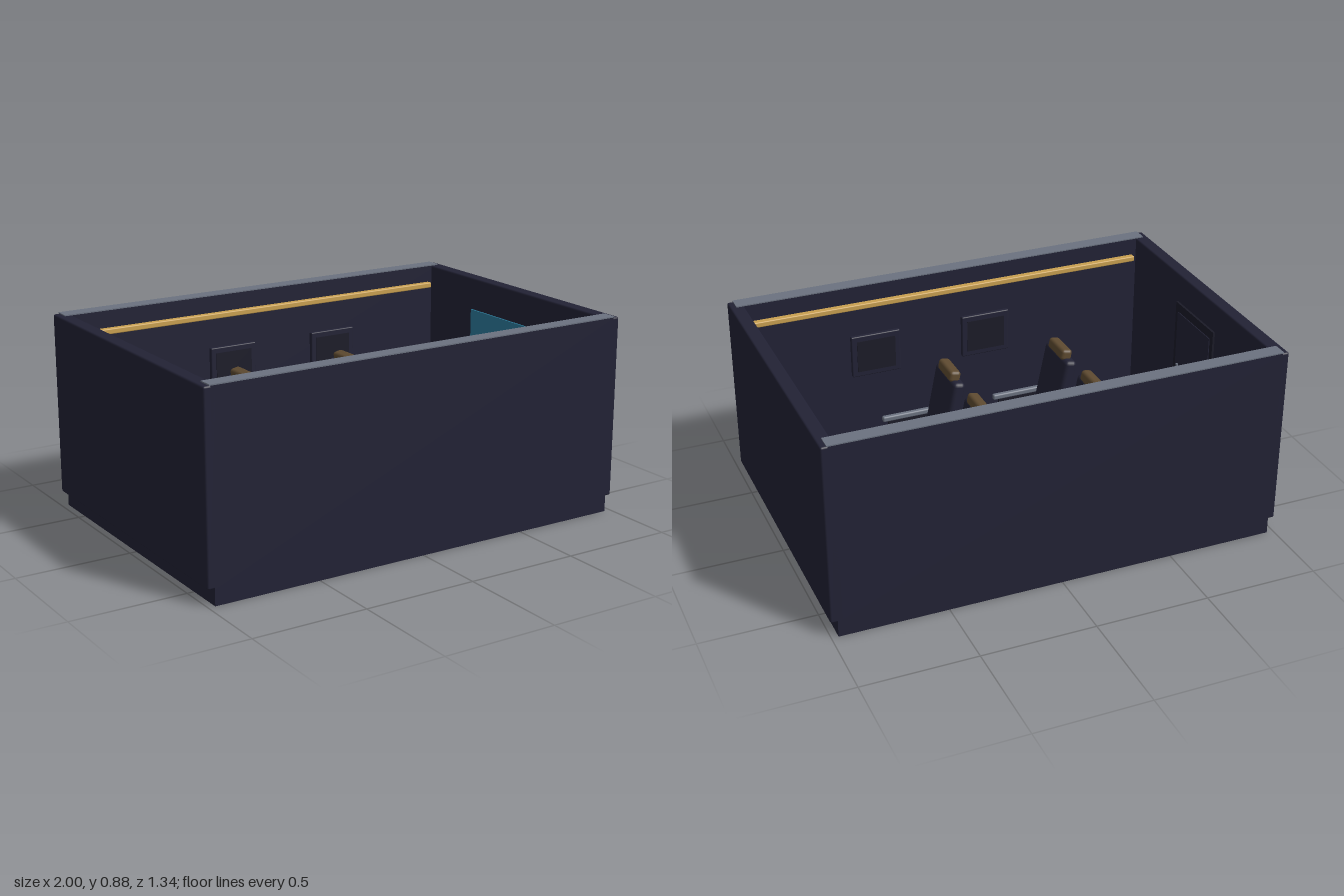
import * as THREE from 'three';
import { RoundedBoxGeometry } from 'three/addons/geometries/RoundedBoxGeometry.js';

const material = (name, color) => {
  const m = new THREE.MeshStandardMaterial({ color });
  m.name = name;
  return m;
};

export function createModel() {
  const navy = material('navy', 0x222235);
  const charcoal = material('charcoal', 0x1b1b28);
  const grey = material('grey', 0x6b7280);
  const gold = material('gold', 0xc9a050);
  const carpetBrown = material('carpetBrown', 0x53453a);
  const pillowBrown = material('pillowBrown', 0x5e4a30);
  const teal = material('teal', 0x2b7a9a);

  const room = new THREE.Group();
  room.name = 'loungeRoom';

  // Box by size and centre; a radius rounds the edges
  const box = (parent, name, mat, [w, h, d], [x, y, z], radius = 0) => {
    const geo = radius ? new RoundedBoxGeometry(w, h, d, 2, radius) : new THREE.BoxGeometry(w, h, d);
    const mesh = new THREE.Mesh(geo, mat);
    mesh.name = name;
    mesh.position.set(x, y, z);
    parent.add(mesh);
    return mesh;
  };

  // Floor with carpet runner
  box(room, 'floor', navy, [1.94, 0.07, 1.34], [0, 0.035, 0]);
  box(room, 'carpet', carpetBrown, [1.88, 0.006, 0.27], [0, 0.073, 0]);

  for (const s of [-1, 1]) {
    // End walls
    box(room, 'endWall', navy, [0.06, 0.8, 1.34], [s * 0.97, 0.47, 0], 0.008);
    // Long walls with cap and light strip
    box(room, 'longWall', navy, [1.94, 0.8, 0.065], [0, 0.47, s * 0.6375]);
    box(room, 'wallCap', grey, [1.95, 0.005, 0.065], [0, 0.8725, s * 0.6375]);
    box(room, 'lightStrip', gold, [1.84, 0.025, 0.03], [0, 0.783, s * 0.59], 0.005);
    // Wall panels beside each row of seats
    for (const x of [-0.17, 0.36]) {
      box(room, 'panelFrame', navy, [0.23, 0.2, 0.022], [x, 0.535, s * 0.594], 0.005);
      box(room, 'panelInset', charcoal, [0.18, 0.15, 0.006], [x, 0.535, s * 0.582]);
    }
  }

  // Screen on the left end wall
  box(room, 'screen', teal, [0.008, 0.18, 0.55], [0.936, 0.632, 0]);

  // Door on the right end wall
  box(room, 'doorFrame', charcoal, [0.012, 0.67, 0.34], [-0.936, 0.405, 0]);
  box(room, 'doorLeaf', navy, [0.008, 0.63, 0.29], [-0.93, 0.385, 0]);
  box(room, 'doorHandle', grey, [0.01, 0.1, 0.01], [-0.923, 0.4, 0.12]);

  // Recliner facing +x, its origin under the cushion
  const makeSeat = () => {
    const seat = new THREE.Group();
    seat.name = 'seat';
    box(seat, 'pedestal', charcoal, [0.14, 0.12, 0.15], [0, 0.13, 0]);
    box(seat, 'cushion', navy, [0.25, 0.09, 0.24], [-0.005, 0.235, 0], 0.02);
    const back = box(seat, 'backrest', navy, [0.055, 0.36, 0.23], [-0.154, 0.425, 0], 0.018);
    back.rotation.z = 0.2;
    const pillow = box(seat, 'headrest', pillowBrown, [0.05, 0.05, 0.15], [-0.182, 0.616, 0], 0.014);
    pillow.rotation.z = 0.2;
    for (const s of [-1, 1]) {
      box(seat, 'armrest', grey, [0.23, 0.025, 0.024], [-0.03, 0.36, s * 0.134], 0.007);
      box(seat, 'armSupport', charcoal, [0.18, 0.15, 0.016], [-0.03, 0.275, s * 0.128]);
    }
    return seat;
  };

  // Two rows of two seats
  for (const x of [-0.175, 0.35]) {
    for (const z of [-0.168, 0.168]) {
      const seat = makeSeat();
      seat.position.set(x, 0, z);
      room.add(seat);
    }
  }
  return room;
}
